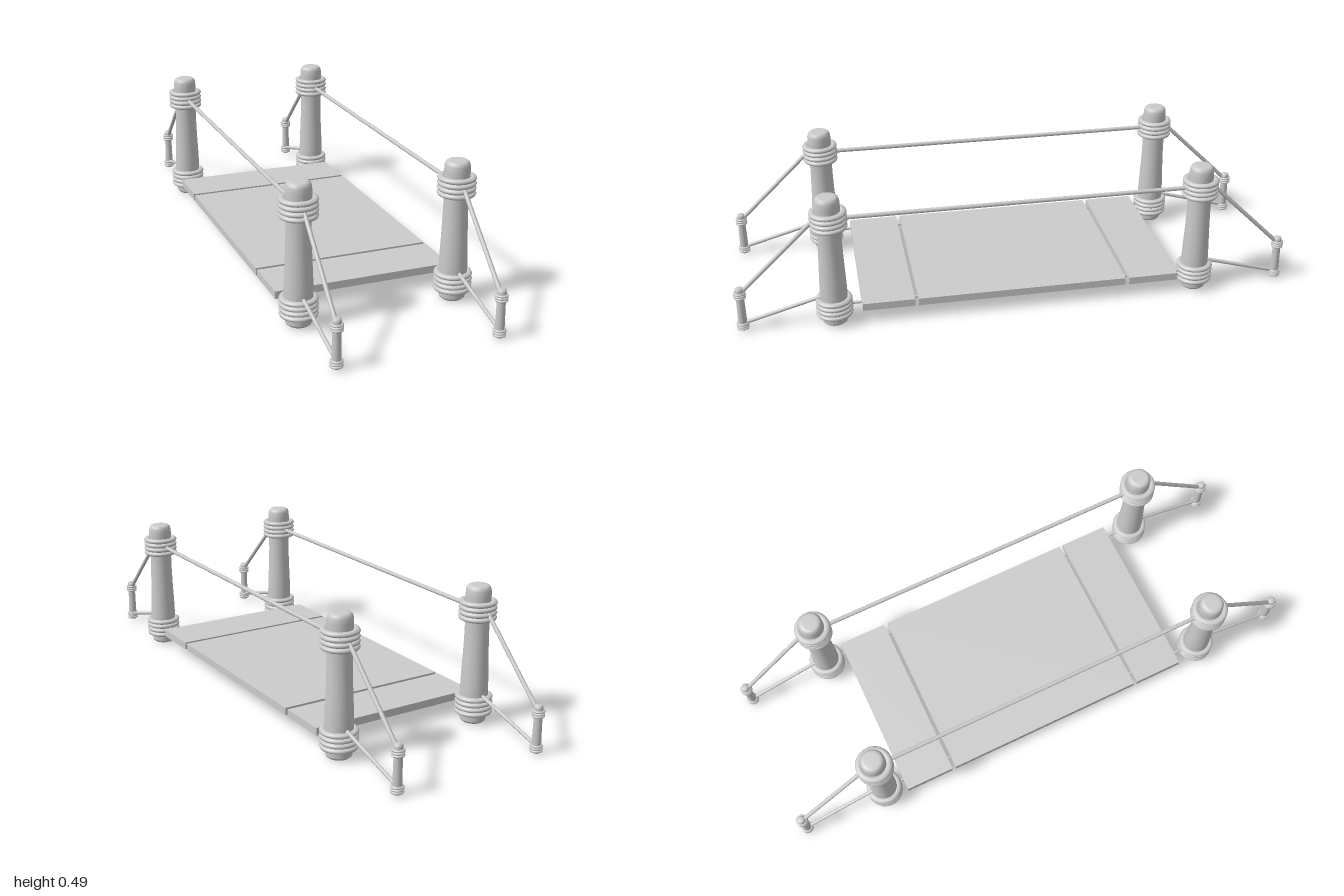
import * as THREE from 'three';

const material = new THREE.MeshStandardMaterial({ color: 0xcccccc });
const POST_X = 0.277, POST_Z = 0.659, STAKE_Z = 0.978;

function add(parent, name, geometry) {
  const mesh = new THREE.Mesh(geometry, material);
  mesh.name = name;
  parent.add(mesh);
  return mesh;
}

// Turned solid from [radius, height] pairs
function turned(profile, sides) {
  return new THREE.LatheGeometry(profile.map(([r, y]) => new THREE.Vector2(r, y)), sides);
}

// Straight rope between two points
function rope(parent, name, a, b, radius) {
  const from = new THREE.Vector3(...a), to = new THREE.Vector3(...b);
  const dir = to.clone().sub(from);
  const mesh = add(parent, name, new THREE.CylinderGeometry(radius, radius, dir.length(), 12));
  mesh.position.copy(from).add(to).multiplyScalar(0.5);
  mesh.quaternion.setFromUnitVectors(new THREE.Vector3(0, 1, 0), dir.normalize());
}

// Stack of rope rings wound round a post
function coil(parent, name, count, y0, pitch, outer, tube) {
  for (let i = 0; i < count; i++) {
    const ring = new THREE.TorusGeometry(outer - tube, tube, 10, 32);
    ring.rotateX(Math.PI / 2);
    ring.scale(1, pitch / 2 / tube, 1);
    add(parent, name, ring).position.y = y0 + i * pitch;
  }
}

// Tall post, waisted below the upper coil and rounded on top
function makePost() {
  const post = new THREE.Group();
  post.name = 'post';
  add(post, 'postBody', turned([
    [0, 0], [0.036, 0], [0.036, 0], [0.043, 0.006], [0.0445, 0.01], [0.0445, 0.03],
    [0.048, 0.08], [0.048, 0.12], [0.0465, 0.17], [0.0435, 0.24], [0.0415, 0.31],
    [0.0412, 0.37], [0.0435, 0.42], [0.0435, 0.455], [0.0425, 0.474], [0.039, 0.484],
    [0.033, 0.489], [0.025, 0.49], [0, 0.49],
  ], 32));
  coil(post, 'lowerCoil', 4, 0.039, 0.0175, 0.065, 0.0125);
  coil(post, 'upperCoil', 4, 0.378, 0.0175, 0.065, 0.0125);
  return post;
}

// Short anchor stake at the end of the guy ropes
function makeStake() {
  const stake = new THREE.Group();
  stake.name = 'stake';
  add(stake, 'stakeBody', turned([
    [0, 0.004], [0.013, 0.004], [0.015, 0.008], [0.0155, 0.035], [0.0145, 0.09],
    [0.014, 0.125], [0.0152, 0.15], [0.0152, 0.16], [0.0135, 0.167], [0.009, 0.17], [0, 0.17],
  ], 20));
  coil(stake, 'stakeLowerCoil', 3, 0.0115, 0.0085, 0.0215, 0.006);
  coil(stake, 'stakeUpperCoil', 3, 0.132, 0.0085, 0.0215, 0.006);
  return stake;
}

export function createModel() {
  const model = new THREE.Group();
  model.name = 'ropeBridge';

  // Deck boards: [back z, front z]
  for (const [z0, z1] of [[-0.584, -0.402], [-0.388, 0.366], [0.379, 0.563]]) {
    add(model, 'deckBoard', new THREE.BoxGeometry(0.638, 0.027, z1 - z0))
      .position.set(-0.004, 0.0645, (z0 + z1) / 2);
  }

  for (const sx of [-1, 1]) {
    const x = sx * POST_X;
    rope(model, 'handRope', [x, 0.405, -POST_Z], [x, 0.405, POST_Z], 0.0075);
    rope(model, 'deckRope', [x, 0.066, -POST_Z], [x, 0.066, POST_Z], 0.005);
    for (const sz of [-1, 1]) {
      const post = makePost();
      post.position.set(x, 0, sz * POST_Z);
      const stake = makeStake();
      stake.position.set(x, 0, sz * STAKE_Z);
      model.add(post, stake);
      rope(model, 'upperGuyRope', [x, 0.402, sz * 0.712], [x, 0.143, sz * 0.98], 0.0075);
      rope(model, 'lowerGuyRope', [x, 0.104, sz * 0.7], [x, 0.026, sz * 0.98], 0.0065);
    }
  }
  return model;
}
